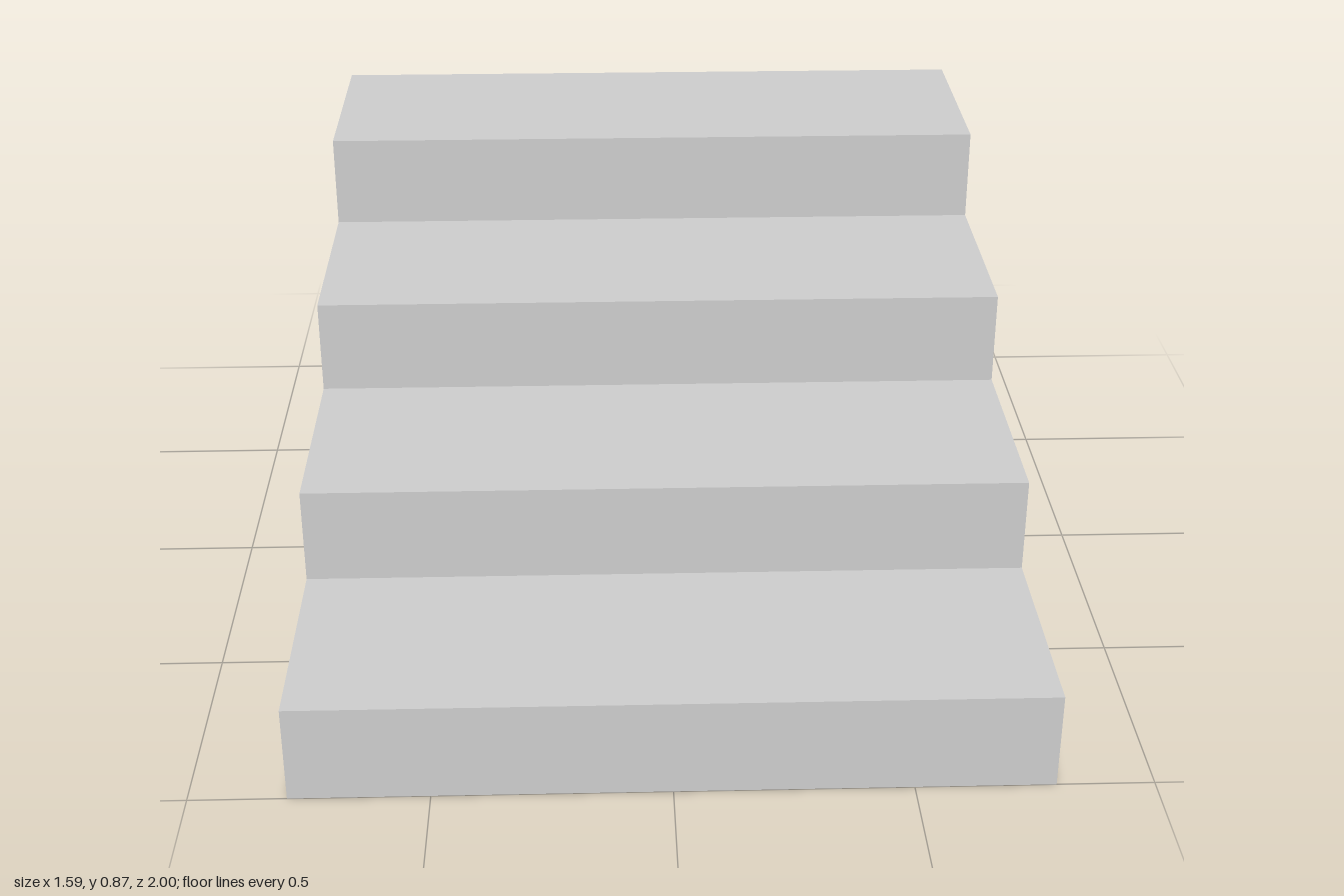
import * as THREE from 'three';

const STEPS = 4, WIDTH = 1.59, LENGTH = 2, HEIGHT = 0.87;
const tread = LENGTH / STEPS, rise = HEIGHT / STEPS;

export function createModel() {
  const group = new THREE.Group();
  group.name = 'staircase';

  // Side profile: stepped top edge running from front to back
  const profile = new THREE.Shape();
  profile.moveTo(-LENGTH / 2, 0);
  for (let i = 0; i < STEPS; i++) {
    profile.lineTo(-LENGTH / 2 + i * tread, (i + 1) * rise);
    profile.lineTo(-LENGTH / 2 + (i + 1) * tread, (i + 1) * rise);
  }
  // Short back face, sloped underside, flat foot under the first step
  profile.lineTo(LENGTH / 2, HEIGHT - rise);
  profile.lineTo(-LENGTH / 2 + tread, 0);
  profile.closePath();

  // Extrude across the width, with the low step facing +z
  const geometry = new THREE.ExtrudeGeometry(profile, { depth: WIDTH, bevelEnabled: false });
  geometry.translate(0, 0, -WIDTH / 2);
  geometry.rotateY(Math.PI / 2);

  const stairs = new THREE.Mesh(
    geometry,
    new THREE.MeshStandardMaterial({ color: 0xcccccc, flatShading: true })
  );
  stairs.name = 'stairFlight';
  group.add(stairs);
  return group;
}
